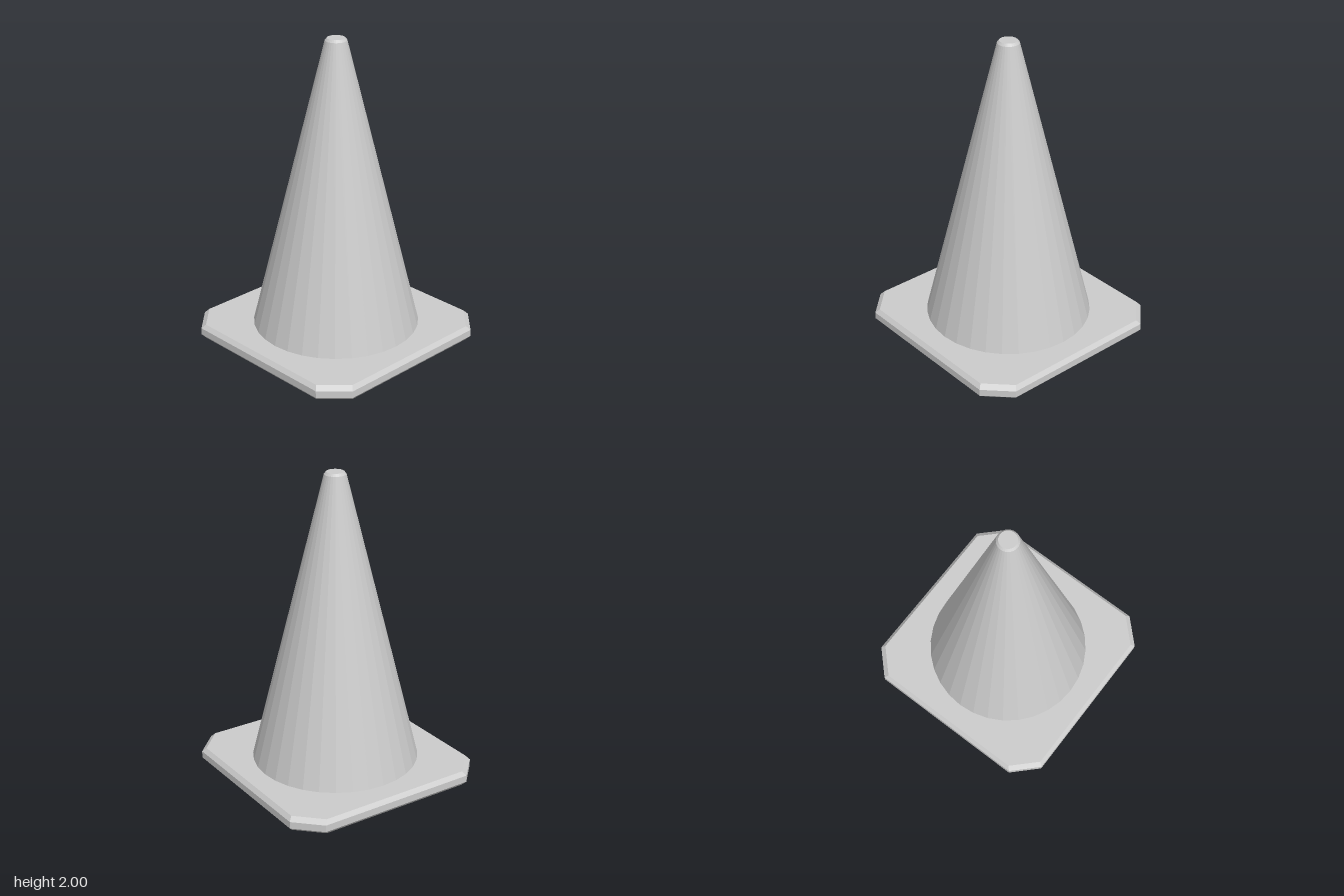
import * as THREE from 'three';

const SIDES = 32;
const HOLE = 0.53;

// Square with cut corners: h = half width, c = where the corner cut starts
function octagon(h, c) {
  return [[h, -c], [h, c], [c, h], [-c, h], [-h, c], [-h, -c], [-c, -h], [c, -h]];
}

// Flat octagonal face with a round hole, facing up or down
function plateFace(h, c, hole, y, up) {
  const shape = new THREE.Shape(octagon(h, c).map(([x, z]) => new THREE.Vector2(x, z)));
  const ring = [];
  for (let i = 0; i < SIDES; i++) {
    const a = (i / SIDES) * Math.PI * 2;
    ring.push(new THREE.Vector2(hole * Math.sin(a), hole * Math.cos(a)));
  }
  shape.holes.push(new THREE.Path(ring));
  const geometry = new THREE.ShapeGeometry(shape);
  geometry.rotateX(up ? -Math.PI / 2 : Math.PI / 2);
  geometry.translate(0, y, 0);
  return geometry;
}

// Bevelled rim lofted through octagonal sections [halfWidth, cornerStart, y]
function plateRim(sections) {
  const positions = [];
  const indices = [];
  for (const [h, c, y] of sections) {
    for (const [x, z] of octagon(h, c)) positions.push(x, y, z);
  }
  for (let s = 0; s < sections.length - 1; s++) {
    for (let i = 0; i < 8; i++) {
      const a = s * 8 + i;
      const b = s * 8 + ((i + 1) % 8);
      indices.push(a, a + 8, b, b, a + 8, b + 8);
    }
  }
  const geometry = new THREE.BufferGeometry();
  geometry.setAttribute('position', new THREE.Float32BufferAttribute(positions, 3));
  geometry.setIndex(indices);
  geometry.computeVertexNormals();
  return geometry;
}

export function createModel() {
  const model = new THREE.Group();
  model.name = 'trafficCone';
  const material = new THREE.MeshStandardMaterial({ color: 0xcccccc, flatShading: true });

  const add = (parent, name, geometry) => {
    const mesh = new THREE.Mesh(geometry, material);
    mesh.name = name;
    parent.add(mesh);
  };
  const lathe = (points) =>
    new THREE.LatheGeometry(points.map(([r, y]) => new THREE.Vector2(r, y)), SIDES);

  // Base plate with bevelled edges and an opening underneath
  const base = new THREE.Group();
  base.name = 'base';
  model.add(base);
  add(base, 'baseRim', plateRim([
    [0.673, 0.52, 0], [0.696, 0.54, 0.026], [0.696, 0.54, 0.071], [0.673, 0.52, 0.097],
  ]));
  add(base, 'baseTop', plateFace(0.673, 0.52, HOLE, 0.097, true));
  add(base, 'baseUnderside', plateFace(0.673, 0.52, HOLE, 0, false));

  // Outer cone wall with a small chamfer and a closed tip
  add(model, 'coneOuterWall', lathe([[0.538, 0.097], [0.069, 1.985], [0.056, 2], [0, 2]]));

  // Hollow inside, seen through the opening in the base
  add(model, 'coneInnerWall', lathe([[0, 1.97], [0.045, 1.97], [HOLE, 0]]));

  return model;
}
